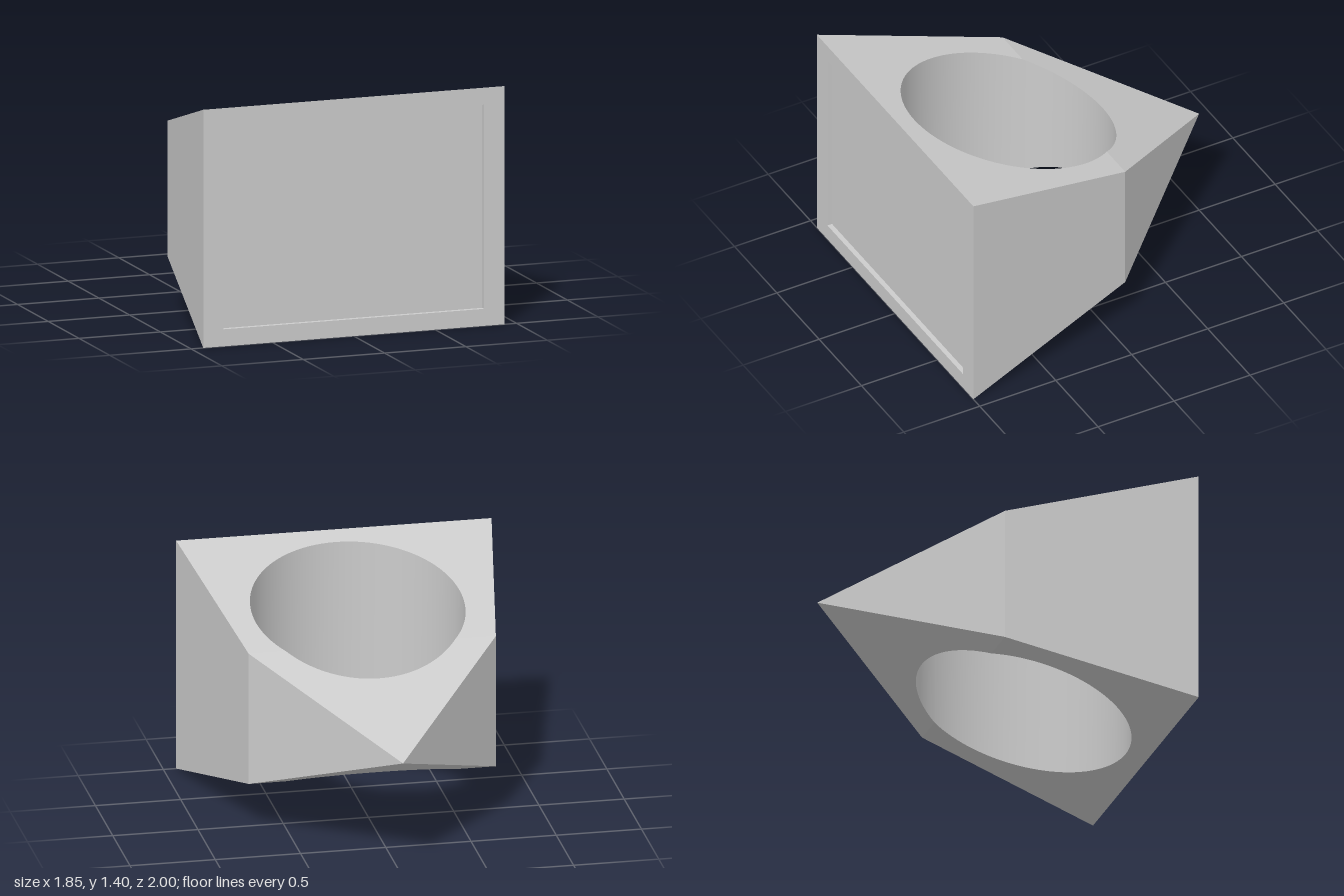
import * as THREE from 'three';

const MID = 0.7;                       // height of the symmetry plane
const BEND = -0.11;                    // z where the slopes change
const BORE = { x: 0.01, z: 0.26, r: 0.62 };
const W = 0.925, SHOULDER = 0.725;     // half widths at the front and the bend

// Half thickness of the body at a given depth
const half = z => z > BEND ? 0.4 + 0.3 * (z - BEND) / (1 - BEND) : 0.4 * (z + 1) / (BEND + 1);

// Points [x, z] along the bore circle
function arc(from, to, n) {
  return Array.from({ length: n + 1 }, (_, i) => {
    const a = from + (to - from) * i / n;
    return [BORE.x + BORE.r * Math.cos(a), BORE.z + BORE.r * Math.sin(a)];
  });
}

// Ribbon of quads between two equally long rows of points
function ribbon(rowA, rowB, flat) {
  const pos = [], index = [];
  rowA.forEach((p, i) => {
    pos.push(...p, ...rowB[i]);
    if (i) {
      const k = 2 * i;
      index.push(k - 2, k, k + 1, k - 2, k + 1, k - 1);
    }
  });
  let geo = new THREE.BufferGeometry();
  geo.setAttribute('position', new THREE.Float32BufferAttribute(pos, 3));
  geo.setIndex(index);
  if (flat) geo = geo.toNonIndexed();
  geo.computeVertexNormals();
  return geo;
}

// Vertical wall following a plan path between the lower and upper slopes
const wall = (path, flat) => ribbon(
  path.map(([x, z]) => [x, MID - half(z), z]),
  path.map(([x, z]) => [x, MID + half(z), z]), flat);

// Sloped plate from a plan outline; sign +1 is the top, -1 the underside
function plate(outline, sign) {
  const shape = new THREE.Shape(outline.map(([x, z]) => new THREE.Vector2(x, -sign * z)));
  const geo = new THREE.ShapeGeometry(shape).rotateX(-sign * Math.PI / 2);
  const p = geo.attributes.position;
  for (let i = 0; i < p.count; i++) p.setY(i, MID + sign * half(p.getZ(i)));
  geo.computeVertexNormals();
  return geo;
}

export function createModel() {
  const group = new THREE.Group();
  const material = new THREE.MeshStandardMaterial({ color: 0xcccccc });
  const add = (name, geo) => {
    const mesh = new THREE.Mesh(geo, material);
    mesh.name = name;
    group.add(mesh);
    return mesh;
  };

  // Bore split where it crosses the bend
  const a0 = Math.asin((BEND - BORE.z) / BORE.r);
  const frontArc = arc(a0, Math.PI - a0, 72);
  const backArc = arc(Math.PI - a0, 2 * Math.PI + a0, 48);

  // Sloped top and underside, each in a front and a back plane
  for (const [side, sign] of [['top', 1], ['underside', -1]]) {
    add(side + 'Front', plate([[W, 1], [SHOULDER, BEND], ...frontArc, [-SHOULDER, BEND], [-W, 1]], sign));
    add(side + 'Back', plate([[SHOULDER, BEND], [0, -1], [-SHOULDER, BEND], ...backArc], sign));
  }

  // Outer side walls meeting at the rear point, and the round through hole
  add('sideWalls', wall([[W, 1], [SHOULDER, BEND], [0, -1], [-SHOULDER, BEND], [-W, 1]], true));
  add('boreWall', wall([...frontArc, ...backArc.slice(1)], false));

  // Front frame with a shallow recessed panel
  const px = 0.8, y0 = 0.1, y1 = 1.3, depth = 0.03;
  const rect = (x, lo, hi) => [[-x, lo], [x, lo], [x, hi], [-x, hi]];
  const toV2 = pts => pts.map(p => new THREE.Vector2(...p));
  const opening = rect(px, y0, y1);
  const frame = new THREE.Shape(toV2(rect(W, 0, 1.4)));
  frame.holes.push(new THREE.Path(toV2(opening)));
  add('frontFrame', new THREE.ShapeGeometry(frame)).position.z = 1;

  const loop = [...opening, opening[0]];
  add('recessEdge', ribbon(loop.map(p => [...p, 1]), loop.map(p => [...p, 1 - depth]), true));
  add('frontPanel', new THREE.PlaneGeometry(2 * px, y1 - y0))
    .position.set(0, (y0 + y1) / 2, 1 - depth);

  return group;
}
